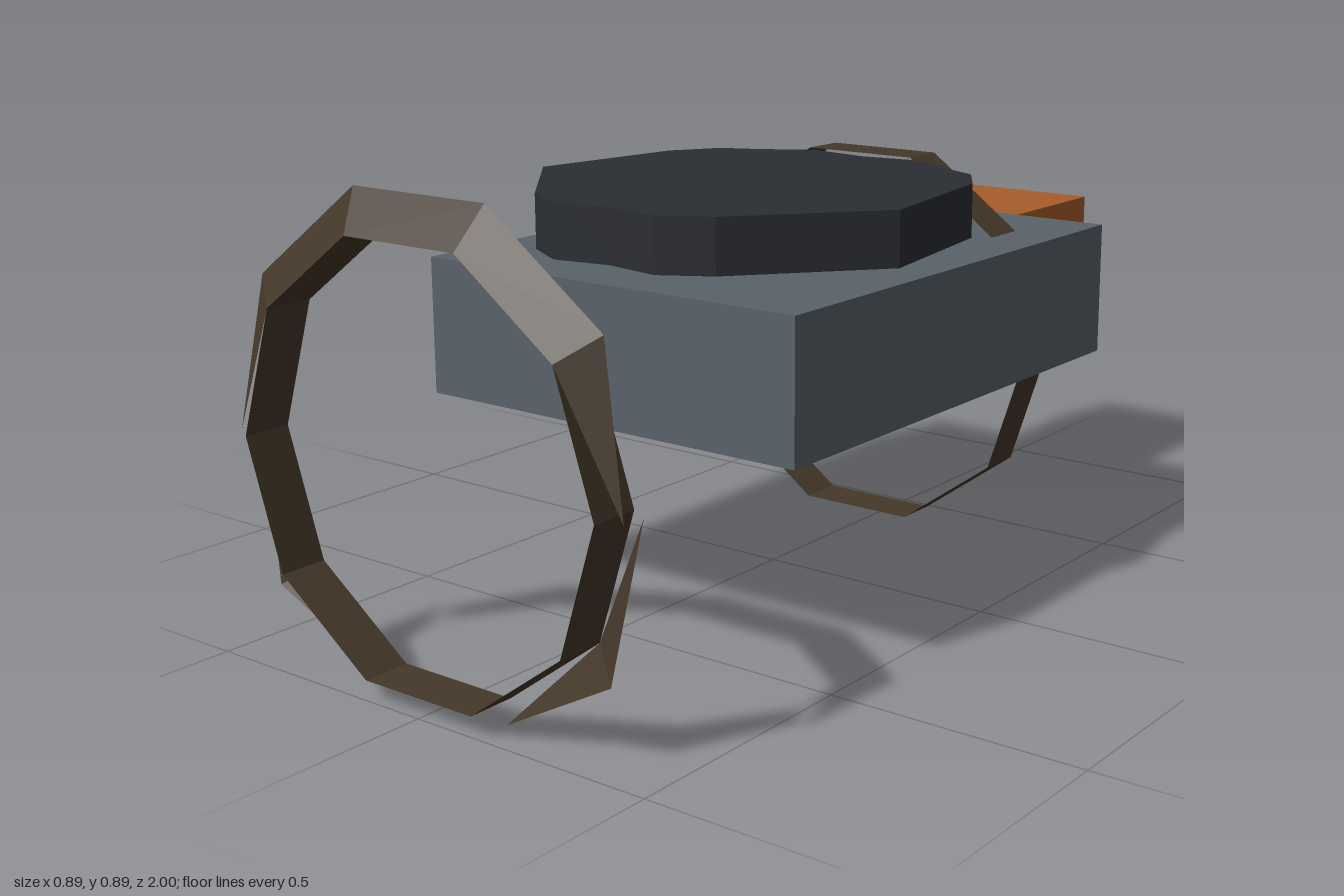
import * as THREE from 'three';

const mat = (color, side = THREE.FrontSide) =>
  new THREE.MeshStandardMaterial({ color, side, flatShading: true });
const steel = mat(0x5a626a);
const wood = mat(0xa85c2a);
const dark = mat(0x2a2d32, THREE.DoubleSide);
const bronze = mat(0x443829, THREE.DoubleSide);

const HOOP_Y = 0.427, R_IN = 0.408, R_OUT = 0.487, HALF = 0.047, R_MID = (R_IN + R_OUT) / 2;

function part(name, geometry, material, x = 0, y = 0, z = 0) {
  const mesh = new THREE.Mesh(geometry, material);
  mesh.name = name;
  mesh.position.set(x, y, z);
  return mesh;
}

// Strip of quads joining pairs of points
function strip(pairs) {
  const pos = [], index = [];
  pairs.forEach(([a, b], i) => {
    pos.push(...a, ...b);
    if (i) { const k = 2 * i; index.push(k - 2, k - 1, k, k, k - 1, k + 1); }
  });
  const g = new THREE.BufferGeometry();
  g.setAttribute('position', new THREE.Float32BufferAttribute(pos, 3));
  g.setIndex(index);
  g.computeVertexNormals();
  return g;
}

const polar = (r, deg, z) => {
  const a = THREE.MathUtils.degToRad(deg);
  return [r * Math.cos(a), r * Math.sin(a), z];
};

// Ten-sided flat band
function hoopBand() {
  const pairs = [];
  for (let i = 0; i <= 10; i++) pairs.push([polar(R_IN, 36 * i, HALF), polar(R_IN, 36 * i, -HALF)]);
  return strip(pairs);
}

// Sloping rim, pinched to a point at its two ends
function hoopFlap(start, end, side) {
  const pairs = [];
  for (let d = start; d <= end; d += 36) {
    const tip = d === start || d === end;
    pairs.push(tip
      ? [polar(R_MID, d, side * HALF / 2), polar(R_MID, d, side * HALF / 2)]
      : [polar(R_IN, d, side * HALF), polar(R_OUT, d, 0)]);
  }
  return strip(pairs);
}

// Faceted disc with an irregular mirrored outline
function discGeometry() {
  const half = [[0, 0.49], [0.12, 0.51], [0.215, 0.455], [0.432, 0.2], [0.378, -0.135],
    [0.315, -0.232], [0.235, -0.268], [0.135, -0.33], [0, -0.31]];
  const outline = [...half, ...half.slice(1, -1).reverse().map(([x, z]) => [-x, z])];
  const shape = new THREE.Shape(outline.map(([x, z]) => new THREE.Vector2(x, -z)));
  return new THREE.ExtrudeGeometry(shape, { depth: 0.106, bevelEnabled: false }).rotateX(-Math.PI / 2);
}

export function createModel() {
  const model = new THREE.Group();
  model.name = 'model';

  // Main block and rear handle block
  model.add(part('body', new THREE.BoxGeometry(0.866, 0.27, 1.085), steel, 0, 0.535, -0.025));
  model.add(part('rearBlock', new THREE.BoxGeometry(0.32, 0.215, 0.433), wood, 0, 0.538, -0.7835));

  // Disc floating just above the body
  model.add(part('topDisc', discGeometry(), dark, 0, 0.7, 0));

  // Front hoop with partial rims
  const front = new THREE.Group();
  front.name = 'frontHoop';
  front.position.set(0, HOOP_Y, 0.953);
  front.add(part('frontHoopBand', hoopBand(), bronze));
  front.add(part('upperRim', hoopFlap(0, 180, 1), bronze));
  front.add(part('lowerRimRight', hoopFlap(180, 252, -1), bronze));
  front.add(part('lowerRimLeft', hoopFlap(288, 360, -1), bronze));
  model.add(front);

  // Rear hoop around the body
  model.add(part('rearHoop', hoopBand(), bronze, 0, HOOP_Y, -0.347));
  return model;
}
